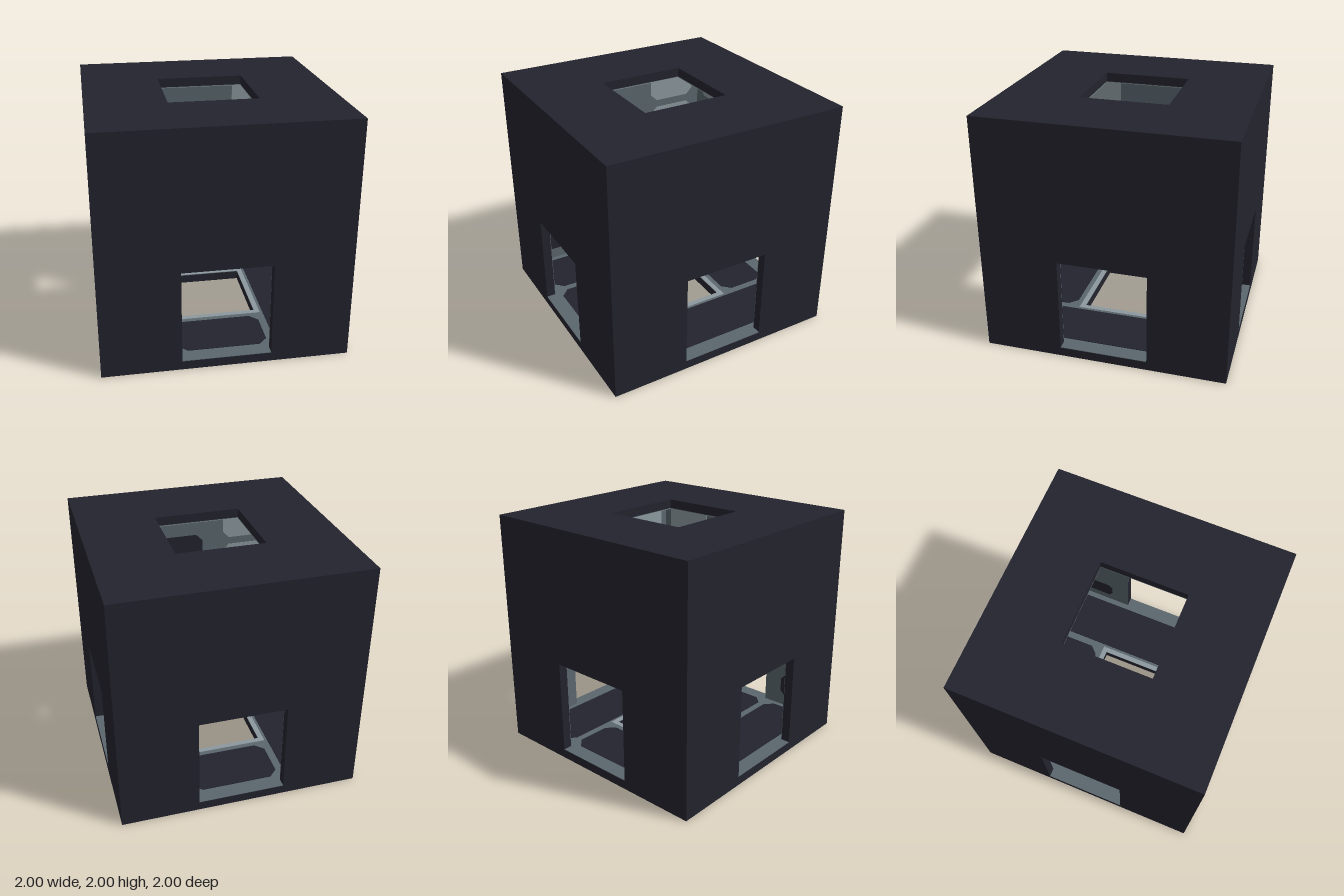
import * as THREE from 'three';

const mat = (name, color) => {
  const m = new THREE.MeshStandardMaterial({ color });
  m.name = name;
  return m;
};
const dark = mat('dark shell', 0x23232e);
const grey = mat('slate lining', 0x5a666d);
const light = mat('pale panel', 0x8c999e);
const white = mat('lamp', 0xc4cccf);

const T = 0.075;       // shell thickness
const IN = 1 - T;      // inner face distance from the centre
const DOOR = 0.36;     // half width of every opening
const SKIN = 0.004;    // lining and panel thickness

const poly = (pts) => new THREE.Shape(pts.map(([x, y]) => new THREE.Vector2(x, y)));
const rect = (x0, y0, x1, y1) => poly([[x0, y0], [x1, y0], [x1, y1], [x0, y1]]);

// Rectangle with cut corners
const cutRect = (x0, y0, x1, y1, c) => poly([
  [x0 + c, y0], [x1 - c, y0], [x1, y0 + c], [x1, y1 - c],
  [x1 - c, y1], [x0 + c, y1], [x0, y1 - c], [x0, y0 + c],
]);

// Square sheet with a square hole in the middle
const frame = (outer, inner) => {
  const s = rect(-outer, -outer, outer, outer);
  s.holes.push(rect(-inner, -inner, inner, inner));
  return s;
};

// Wall outline with a doorway notch at the bottom
const wallShape = (x0, x1) => poly([
  [x0, T], [-DOOR, T], [-DOOR, 0.865], [DOOR, 0.865], [DOOR, T],
  [x1, T], [x1, 2 - T], [x0, 2 - T],
]);

// Flat plate cut from a shape, lying between z and z + depth
function plate(parent, name, shape, z, depth, material) {
  const g = new THREE.ExtrudeGeometry(shape, { depth, bevelEnabled: false, curveSegments: 6 });
  g.translate(0, 0, z);
  const mesh = new THREE.Mesh(g, material);
  mesh.name = name;
  parent.add(mesh);
}

const disc = (x, y, r) => {
  const s = new THREE.Shape();
  s.absarc(x, y, r, 0, Math.PI * 2);
  return s;
};

function makeWall() {
  const wall = new THREE.Group();
  wall.name = 'wall';
  plate(wall, 'wallShell', wallShape(-1, IN), IN, T, dark);
  plate(wall, 'wallLining', wallShape(-IN, IN), IN - SKIN, SKIN, grey);
  const add = (name, shape, m) => plate(wall, name, shape, IN - 2 * SKIN, SKIN, m);

  // Panels on both sides of the doorway
  for (const s of [-1, 1]) {
    const side = (y0, y1, c) => cutRect(s * 0.625 - 0.225, y0, s * 0.625 + 0.225, y1, c);
    add('upperPanel', side(1.49, 1.85, 0.06), light);
    add('middlePanel', side(1.08, 1.42, 0.06), light);
    add('lowerPanel', cutRect(s * 0.69 - 0.16, 0.18, s * 0.69 + 0.16, 0.38, 0.04), dark);
    add('sideLamp', disc(s * 0.64, 0.87, 0.02), light);
  }
  // Screen, lamps and vent slots above the doorway
  add('screen', cutRect(-0.2, 1.15, 0.2, 1.55, 0.06), dark);
  for (let i = -3; i <= 3; i++) add('doorLamp', disc(i * 0.095, 1.01, 0.014), white);
  for (let i = -2; i <= 2; i++) {
    add('ventSlot', cutRect(i * 0.085 - 0.028, 0.91, i * 0.085 + 0.028, 0.945, 0.012), dark);
  }
  return wall;
}

// Floor built in the xy plane with its inner face towards +z
function makeFloor(name) {
  const floor = new THREE.Group();
  floor.name = name;
  plate(floor, name + 'Shell', frame(1, DOOR), 0, T, dark);
  plate(floor, name + 'Lining', frame(IN, DOOR), T, SKIN, grey);
  const add = (n, shape, m) => plate(floor, n, shape, T + SKIN, SKIN, m);
  add('hatchRim', frame(0.405, DOOR), light);
  for (const s of [-1, 1]) {
    add('longPanel', cutRect(s * 0.65 - 0.22, -0.87, s * 0.65 + 0.22, 0.87, 0.07), dark);
    add('shortPanel', cutRect(-0.365, s * 0.66 - 0.21, 0.365, s * 0.66 + 0.21, 0.07), dark);
  }
  return floor;
}

export function createModel() {
  const model = new THREE.Group();
  model.name = 'chamber';

  // Four identical walls
  for (let i = 0; i < 4; i++) {
    const wall = makeWall();
    wall.rotation.y = i * Math.PI / 2;
    model.add(wall);
  }

  // Floor with grey door thresholds
  const floor = makeFloor('floor');
  for (const s of [-1, 1]) {
    const a = s * IN, b = s;
    const lo = Math.min(a, b), hi = Math.max(a, b);
    plate(floor, 'threshold', rect(-DOOR, lo, DOOR, hi), T, SKIN, grey);
    plate(floor, 'threshold', rect(lo, -DOOR, hi, DOOR), T, SKIN, grey);
  }
  floor.rotation.x = -Math.PI / 2;
  model.add(floor);

  // Ceiling repeats the floor, turned over
  const ceiling = makeFloor('ceiling');
  ceiling.rotation.x = Math.PI / 2;
  ceiling.position.y = 2;
  model.add(ceiling);

  return model;
}
